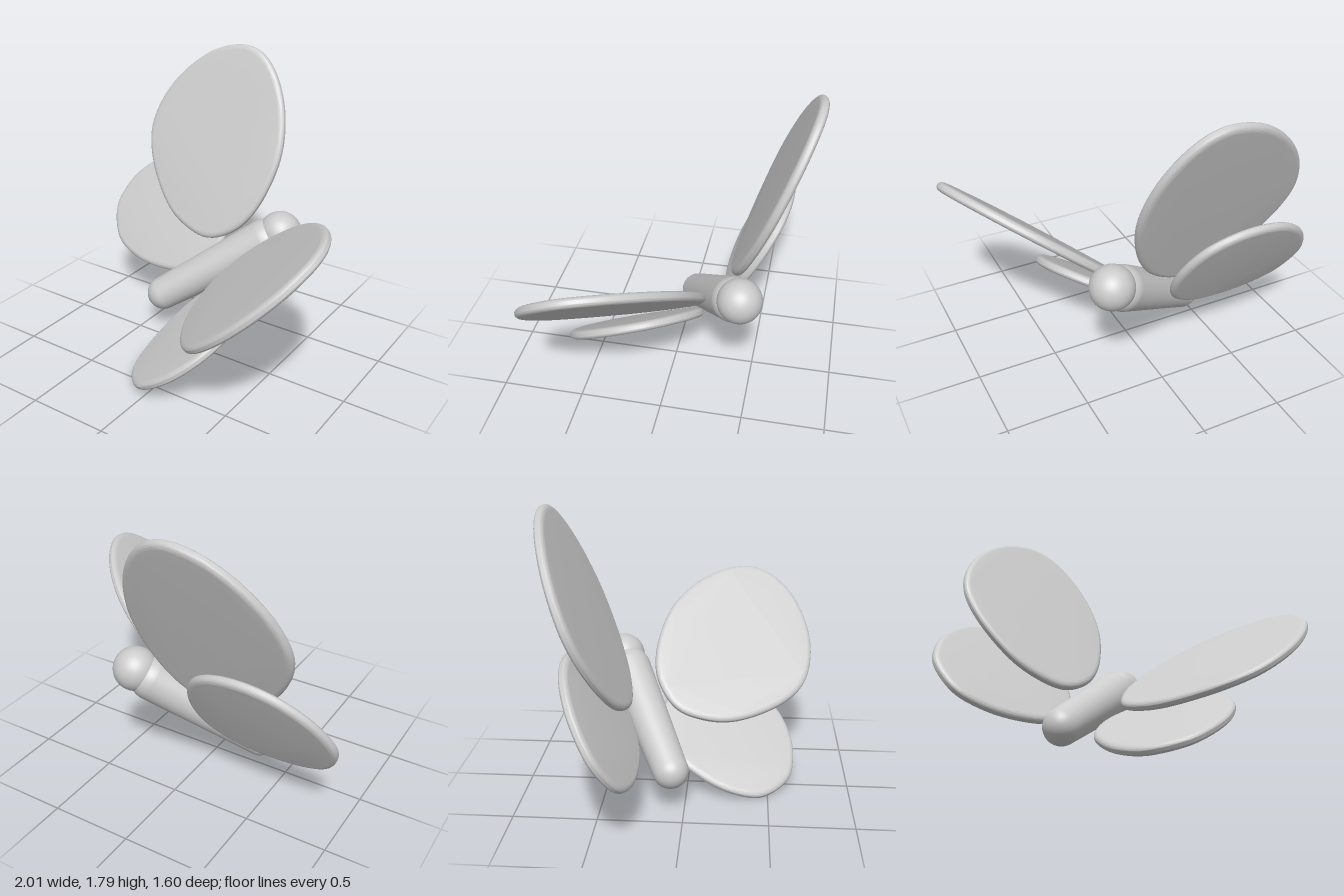
import * as THREE from 'three';
import { toCreasedNormals } from 'three/addons/utils/BufferGeometryUtils.js';

const V = (x, y, z) => new THREE.Vector3(x, y, z);
const material = new THREE.MeshStandardMaterial({ color: 0xcccccc, roughness: 0.7 });

// Body frame: side points to the left wings, axis runs tail to head, back is dorsal
const side = V(0.631, -0.361, 0.686).normalize();
const back = side.clone().cross(V(0.742, 0.537, -0.399)).normalize();
const axis = back.clone().cross(side);
const PLANE = -0.376; // offset of the symmetry plane along side

function reflect(v, offset = 0) {
  return v.clone().addScaledVector(side, -2 * (v.dot(side) - offset));
}

// Tapered capsule along y
function capsule(y0, r0, y1, r1, steps = 16) {
  const pts = [];
  for (let i = 0; i <= steps; i++) {
    const t = (i / steps - 1) * Math.PI / 2;
    pts.push(new THREE.Vector2(Math.cos(t) * r0, y0 + Math.sin(t) * r0));
  }
  for (let i = 0; i <= steps; i++) {
    const t = (i / steps) * Math.PI / 2;
    pts.push(new THREE.Vector2(Math.cos(t) * r1, y1 + Math.sin(t) * r1));
  }
  pts[0].x = pts[pts.length - 1].x = 0;
  return new THREE.LatheGeometry(pts, 48);
}

// Thin plate with a rounded rim, centred on its own xy plane
function wingGeometry(outline) {
  const curve = new THREE.CatmullRomCurve3(outline.map(([x, y]) => V(x, y, 0)), true, 'centripetal');
  const shape = new THREE.Shape(curve.getSpacedPoints(96).slice(0, -1).map(p => new THREE.Vector2(p.x, p.y)));
  const geo = new THREE.ExtrudeGeometry(shape, {
    depth: 0.006, steps: 1, bevelEnabled: true, bevelThickness: 0.026,
    bevelSize: 0.036, bevelOffset: -0.036, bevelSegments: 8,
  });
  geo.translate(0, 0, -0.003);
  return toCreasedNormals(geo, 0.7);
}

const wings = [
  {
    name: 'ForeWing', centre: V(-0.285, 1.2, -0.567), tilt: 0.375,
    outline: [[-0.5, 0], [-0.437, -0.226], [-0.24, -0.497], [-0.07, -0.6], [0.105, -0.632],
      [0.29, -0.54], [0.413, -0.37], [0.5, -0.03], [0.46, 0.26], [0.349, 0.48], [0.22, 0.6],
      [0.085, 0.634], [-0.12, 0.58], [-0.32, 0.42], [-0.45, 0.22]],
  },
  {
    name: 'HindWing', centre: V(-0.54, 0.675, -0.455), tilt: 0.506,
    outline: [[-0.46, -0.08], [-0.37, -0.285], [-0.2, -0.375], [0.016, -0.4], [0.23, -0.363],
      [0.39, -0.24], [0.445, -0.09], [0.43, 0.1], [0.338, 0.278], [0.19, 0.37],
      [0.007, 0.394], [-0.18, 0.345], [-0.34, 0.22], [-0.43, 0.07]],
  },
];

export function createModel() {
  const model = new THREE.Group();
  model.name = 'butterfly';

  // Body and head
  const torso = new THREE.Group();
  torso.name = 'torso';
  torso.quaternion.setFromRotationMatrix(new THREE.Matrix4().makeBasis(side, axis, back));
  torso.position.copy(side).multiplyScalar(PLANE).addScaledVector(back, 0.233);
  const body = new THREE.Mesh(capsule(-0.09, 0.107, 0.68, 0.137), material);
  body.name = 'body';
  const head = new THREE.Mesh(new THREE.SphereGeometry(0.134, 48, 32), material);
  head.name = 'head';
  head.position.y = 0.795;
  torso.add(body, head);
  model.add(torso);

  // Wings, mirrored across the body
  for (const { name, centre, tilt, outline } of wings) {
    const geo = wingGeometry(outline);
    const u = V(1, 0, 0);
    const v = V(0, Math.cos(tilt), -Math.sin(tilt));
    for (const left of [false, true]) {
      const mesh = new THREE.Mesh(geo, material);
      mesh.name = (left ? 'left' : 'right') + name;
      const x = left ? reflect(u) : u;
      const y = left ? reflect(v) : v;
      mesh.quaternion.setFromRotationMatrix(new THREE.Matrix4().makeBasis(x, y, x.clone().cross(y)));
      mesh.position.copy(left ? reflect(centre, PLANE) : centre);
      model.add(mesh);
    }
  }
  return model;
}
